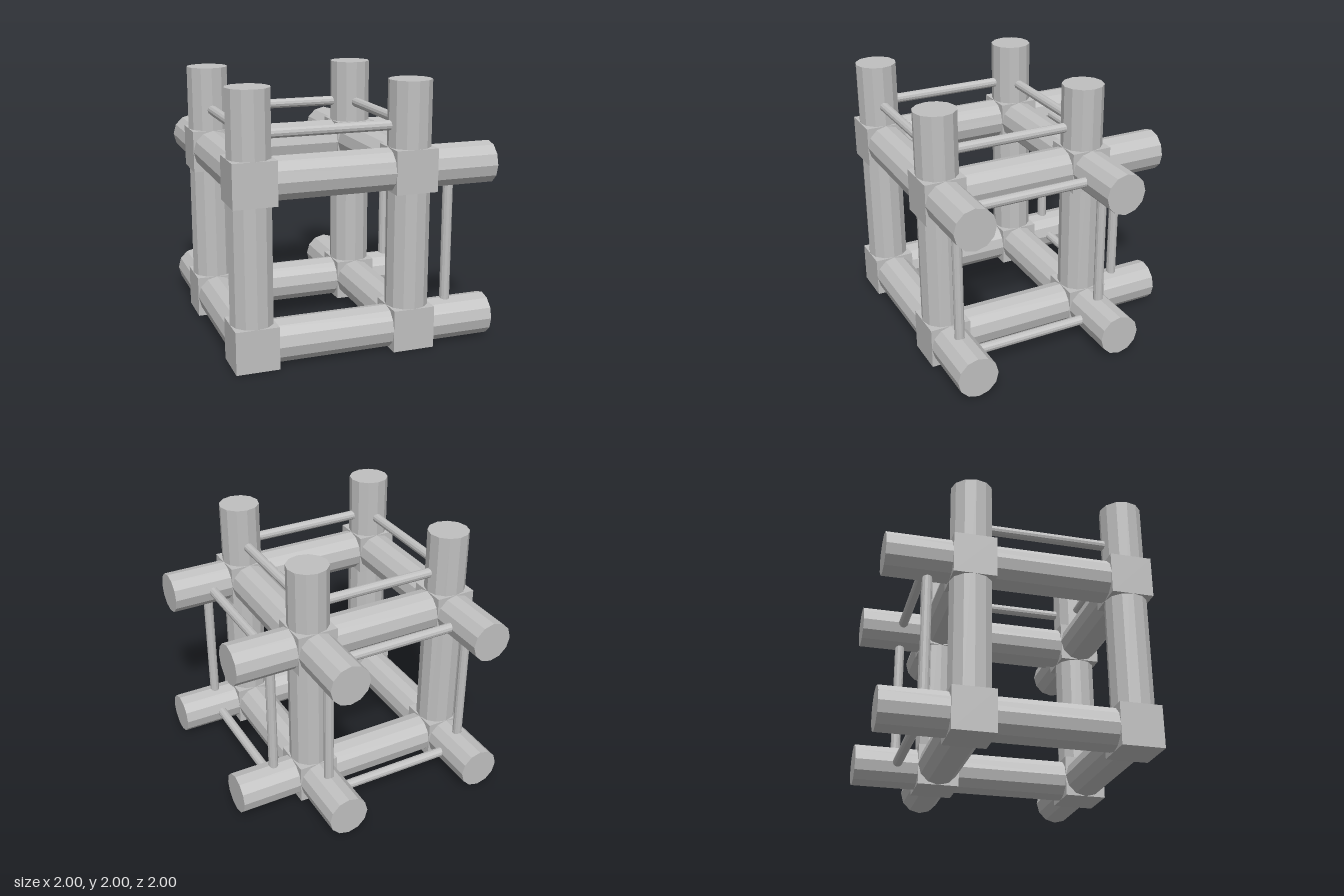
import * as THREE from 'three';

// Lattice of crossing round beams with cube joints and thin tie rods.
const NODES = [-0.84, 0.355];  // joint positions along every axis
const R = 0.16;                // beam radius, half joint size
const ROD_R = 0.038;
const ROD_AT = 0.675;          // where rods cross the free beam ends

export function createModel() {
  const model = new THREE.Group();
  const grey = new THREE.MeshStandardMaterial({ color: 0xc0c0c0, flatShading: true });

  // lattice space: x right, y up from mid height, third axis towards the back
  const place = (mesh, p) => mesh.position.set(p[0], 1 + p[1], -p[2]);

  // 12-sided bar along one lattice axis; p holds the two other coordinates
  function bar(name, axis, from, to, p, radius) {
    const mesh = new THREE.Mesh(new THREE.CylinderGeometry(radius, radius, to - from, 12), grey);
    mesh.name = name;
    if (axis === 0) mesh.rotation.z = -Math.PI / 2;
    if (axis === 2) mesh.rotation.x = -Math.PI / 2;
    const c = [...p];
    c[axis] = (from + to) / 2;
    place(mesh, c);
    model.add(mesh);
  }

  // cube joints
  for (const a of NODES) for (const b of NODES) for (const c of NODES) {
    const joint = new THREE.Mesh(new THREE.BoxGeometry(2 * R, 2 * R, 2 * R), grey);
    joint.name = 'joint';
    place(joint, [a, b, c]);
    model.add(joint);
  }

  const beamNames = ['crossBeam', 'post', 'depthBeam'];
  const rodNames = ['crossRod', 'uprightRod', 'depthRod'];
  for (let axis = 0; axis < 3; axis++) {
    const u = (axis + 1) % 3, v = (axis + 2) % 3;

    // beams, starting inside the first joint and overhanging the second
    for (const a of NODES) for (const b of NODES) {
      const p = [0, 0, 0];
      p[u] = a;
      p[v] = b;
      bar(beamNames[axis], axis, NODES[0], 1, p, R);
    }

    // rods tying neighbouring free beam ends together
    for (const [end, row] of [[u, v], [v, u]]) for (const a of NODES) {
      const p = [0, 0, 0];
      p[end] = ROD_AT;
      p[row] = a;
      bar(rodNames[axis], axis, NODES[0] + R - 0.01, NODES[1] - R + 0.01, p, ROD_R);
    }
  }
  return model;
}
